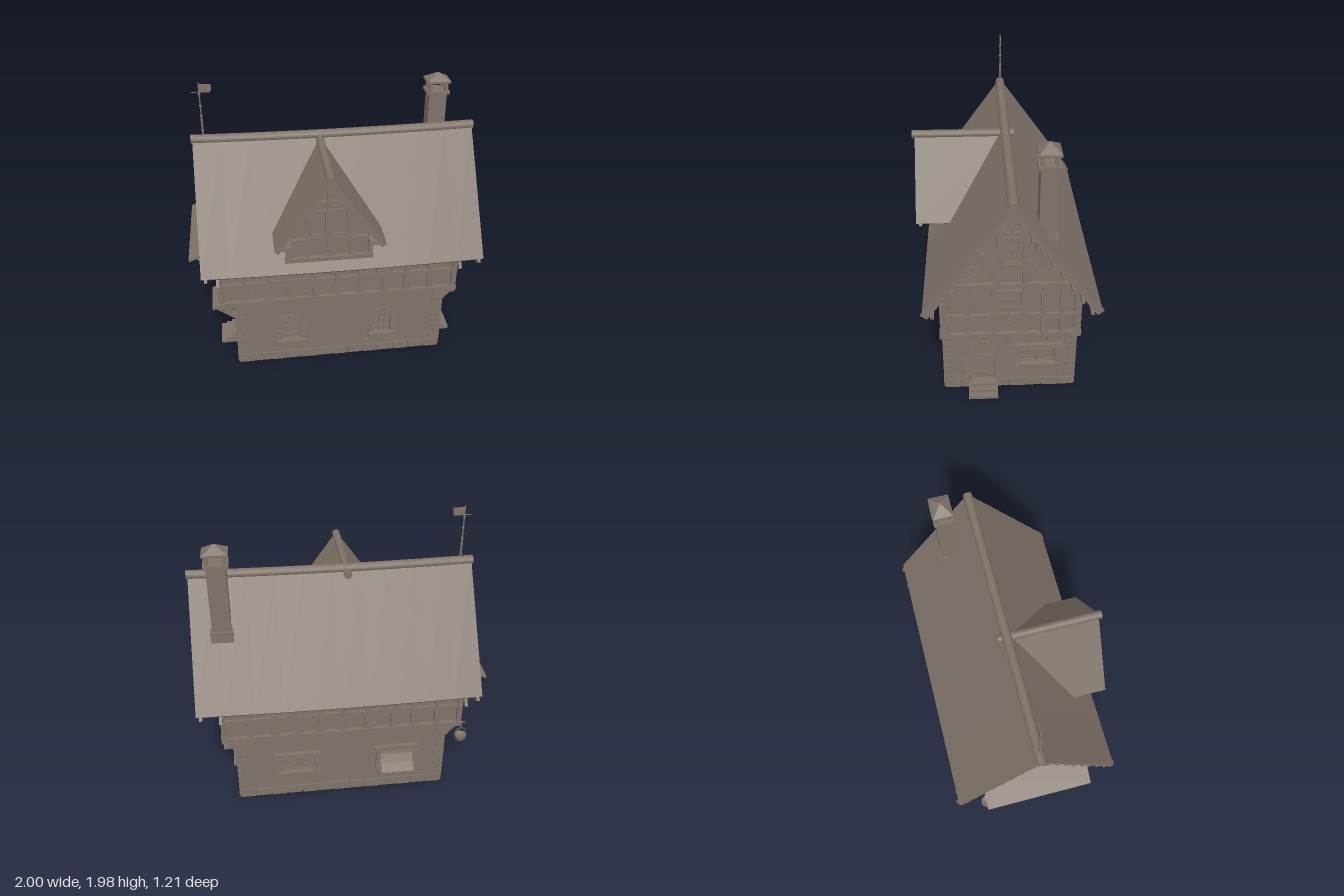
import * as THREE from 'three';

const stone = new THREE.MeshStandardMaterial({ color: 0x7f7368, side: THREE.DoubleSide });
stone.name = 'greyBrown';

function add(g, name, geo, x = 0, y = 0, z = 0) {
  const m = new THREE.Mesh(geo, stone);
  m.name = name;
  m.position.set(x, y, z);
  g.add(m);
  return m;
}
const box = (g, name, w, h, d, x, y, z) => add(g, name, new THREE.BoxGeometry(w, h, d), x, y, z);
// Timber lying on a facade between two (u, y) points
function beam(g, name, u0, y0, u1, y1, w = 0.03, d = 0.02, z = 0) {
  const m = box(g, name, Math.hypot(u1 - u0, y1 - y0), w, d, (u0 + u1) / 2, (y0 + y1) / 2, z + d / 2);
  m.rotation.z = Math.atan2(y1 - y0, u1 - u0);
  return m;
}
// Round bar between two 3D points
function rod(g, name, a, b, r, sides = 6) {
  const A = new THREE.Vector3(...a), B = new THREE.Vector3(...b), d = B.clone().sub(A);
  const m = add(g, name, new THREE.CylinderGeometry(r, r, d.length(), sides));
  m.position.copy(A).add(B).multiplyScalar(0.5);
  m.quaternion.setFromUnitVectors(new THREE.Vector3(0, 1, 0), d.normalize());
  return m;
}
const poly = pts => new THREE.Shape(pts.map(p => new THREE.Vector2(...p)));
const extrude = (s, depth, steps = 1) => new THREE.ExtrudeGeometry(s, { depth, steps, bevelEnabled: false, curveSegments: 10 });
// A facade is drawn facing +z, then turned to its side of the house
function facade(parent, name, angle, x, z) {
  const g = new THREE.Group();
  g.name = name;
  g.rotation.y = angle;
  g.position.set(x, 0, z);
  parent.add(g);
  return g;
}
function archPath(u, y0, w, spring) {
  const s = new THREE.Shape();
  s.moveTo(u - w / 2, y0);
  s.lineTo(u + w / 2, y0);
  s.lineTo(u + w / 2, spring);
  s.absarc(u, spring, w / 2, 0, Math.PI, false);
  s.lineTo(u - w / 2, y0);
  return s;
}
const rectPath = (u, y, w, h) => poly([[u - w / 2, y - h / 2], [u + w / 2, y - h / 2], [u + w / 2, y + h / 2], [u - w / 2, y + h / 2]]);
function wall(g, u0, u1, holes) {
  const s = rectPath((u0 + u1) / 2, 0.26, u1 - u0, 0.52);
  s.holes.push(...holes);
  add(g, 'groundWall', extrude(s, 0.03), 0, 0, -0.03);
}
// Arched opening with stone surround and either panes or door planks
function arch(g, u, y0, w, spring, door) {
  add(g, door ? 'doorLeaf' : 'windowPane', extrude(archPath(u, y0, w, spring), 0.008), 0, 0, -0.024);
  const r = w / 2 + 0.016, n = Math.round((spring - y0) / 0.042);
  for (const s of [-1, 1]) for (let i = 0; i < n; i++) {
    const bw = i % 2 ? 0.03 : 0.042, h = (spring - y0) / n;
    box(g, 'jambStone', bw, h - 0.004, 0.03, u + s * (w / 2 + bw / 2), y0 + h * (i + 0.5), 0);
  }
  for (let i = 0; i < 9; i++) {
    const a = (i + 0.5) * Math.PI / 9;
    const m = box(g, 'archStone', 0.034, Math.PI * r / 9 - 0.002, 0.03, u + Math.cos(a) * r, spring + Math.sin(a) * r, 0);
    m.rotation.z = a;
  }
  if (!door) box(g, 'windowSill', w + 0.09, 0.018, 0.05, u, y0 - 0.009, 0.012);
  const bars = door ? 5 : 3;
  for (let i = 1; i < bars; i++) beam(g, 'bar', u - w / 2 + w * i / bars, y0, u - w / 2 + w * i / bars, spring + w * 0.38, 0.007, 0.008, -0.016);
  for (const t of door ? [0.25, 0.9] : [0.35, 0.8]) beam(g, 'crossBar', u - w / 2, y0 + (spring - y0) * t, u + w / 2, y0 + (spring - y0) * t, door ? 0.016 : 0.007, 0.01, -0.016);
}
// Framed casement with glazing bars
function casement(g, u, y, w, h, leaves, z = 0) {
  box(g, 'windowPane', w, h, 0.006, u, y, z + 0.001);
  for (const s of [-1, 1]) {
    beam(g, 'windowFrame', u + s * w / 2, y - h / 2, u + s * w / 2, y + h / 2, 0.016, 0.018, z);
    beam(g, 'windowFrame', u - w / 2, y + s * h / 2, u + w / 2, y + s * h / 2, 0.016, 0.018, z);
  }
  for (let i = 1; i < leaves * 2; i++) {
    const x = u - w / 2 + w * i / (leaves * 2);
    beam(g, 'mullion', x, y - h / 2, x, y + h / 2, i % 2 ? 0.005 : 0.016, i % 2 ? 0.009 : 0.016, z);
  }
  for (const t of [-0.2, 0.15]) beam(g, 'glazingBar', u - w / 2, y + h * t, u + w / 2, y + h * t, 0.005, 0.009, z);
}
function stoneWindow(g, u) {
  casement(g, u, 0.285, 0.23, 0.14, 2, -0.02);
  box(g, 'lintel', 0.32, 0.026, 0.05, u, 0.367, 0.008);
  box(g, 'windowSill', 0.29, 0.018, 0.05, u, 0.206, 0.012);
  for (const s of [-1, 1]) box(g, 'windowPost', 0.026, 0.14, 0.036, u + s * 0.128, 0.285, 0.004);
}
// Plinth course and alternating corner stones
function masonry(g, u0, u1) {
  const n = Math.round((u1 - u0) / 0.11), w = (u1 - u0) / n;
  for (let i = 0; i < n; i++) box(g, 'plinthStone', w - 0.005, i % 2 ? 0.062 : 0.067, 0.02, u0 + w * (i + 0.5), 0.033, 0);
  for (let i = 0; i < 9; i++) {
    const q = i % 2 ? 0.042 : 0.066;
    for (const [u, s] of [[u0, 1], [u1, -1]]) box(g, 'cornerStone', q + 0.008, 0.045, 0.016, u + s * (q / 2 - 0.004), 0.093 + i * 0.048, 0);
  }
}
// Timber frame: sill, rail, plate, posts and braces
function frame(g, u0, u1, posts, top) {
  beam(g, 'sillBeam', u0, 0.53, u1, 0.53, 0.038, 0.028);
  beam(g, 'middleRail', u0, 0.685, u1, 0.685, 0.026);
  beam(g, 'wallPlate', u0, top, u1, top, 0.03, 0.024);
  for (const u of posts) beam(g, 'post', u, 0.54, u, top, 0.034, 0.022);
  for (let i = 0; i < posts.length - 1; i++) {
    const a = posts[i] + 0.015, b = posts[i + 1] - 0.015;
    if (i % 2) beam(g, 'brace', a, 0.675, b, 0.55, 0.022, 0.016);
    else beam(g, 'brace', a, 0.55, b, 0.675, 0.022, 0.016);
    const m = (a + b) / 2;
    beam(g, 'shortBrace', m, 0.61, i % 2 ? a : b, 0.55, 0.02, 0.014);
  }
}
const roofY = u => 1.6 - (u < 0.04 ? (0.04 - u) * 1.418 : (u - 0.04) * 1.405);

// Gable end: framing, gable window, brackets, rafter ends and bargeboards
function gableEnd(g, reach) {
  frame(g, -0.405, 0.48, [-0.388, -0.24, -0.075, 0.125, 0.25, 0.37, 0.463], 0.93);
  casement(g, 0.025, 0.79, 0.165, 0.18, 2);
  casement(g, 0.04, 1.19, 0.1, 0.18, 1);
  beam(g, 'collarBeam', -0.13, 1.31, 0.21, 1.31, 0.026);
  beam(g, 'kingPost', 0.04, 1.3, 0.04, 1.53, 0.03);
  beam(g, 'gableSill', -0.02, 1.09, 0.1, 1.09, 0.02, 0.03);
  for (const s of [-1, 1]) {
    const c = 0.04 + s * 0.08;
    beam(g, 'gablePost', c, 0.94, c, 1.31, 0.026);
    beam(g, 'gableBrace', c + s * 0.02, 0.95, 0.04 + s * 0.24, 1.17, 0.024);
    beam(g, 'gableBrace', c, 1.12, 0.04 + s * 0.3, 0.95, 0.024);
    const e = s < 0 ? -0.505 : 0.59;
    for (const [drop, z, w] of [[0.045, reach - 0.03, 0.05], [0.085, 0, 0.03]])
      beam(g, 'bargeboard', 0.04, 1.6 - drop, e, roofY(e) - drop + 0.015, w, 0.02, z);
    for (let i = 0; i < 8; i++) {
      const u = 0.04 + (e - 0.04) * (0.1 + i * 0.115);
      box(g, 'purlinEnd', 0.022, 0.028, reach, u, roofY(u) - 0.095, reach / 2);
    }
  }
  for (const u of [-0.39, -0.24, -0.12, 0.02, 0.15, 0.295, 0.45]) {
    box(g, 'joistEnd', 0.034, 0.03, 0.1, u, 0.5, -0.03);
    const b = box(g, 'bracket', 0.026, 0.026, 0.12, u, 0.462, -0.045);
    b.rotation.x = -0.8;
    box(g, 'bracketFoot', 0.036, 0.03, 0.03, u, 0.435, -0.075);
  }
}
const sag = (geo, len, amount) => {
  const p = geo.attributes.position;
  for (let i = 0; i < p.count; i++) p.setY(i, p.getY(i) - amount * (1 - (2 * p.getZ(i) / len - 1) ** 2));
  geo.computeVertexNormals();
  return geo;
};

export function createModel() {
  const house = new THREE.Group();
  house.name = 'timberHouse';
  const P = Math.PI;

  // Ground floor, hollow and open below
  const front = facade(house, 'frontGround', 0, 0, 0.405);
  wall(front, -0.715, 0.75, [-0.335, 0.325].map(u => archPath(u, 0.18, 0.115, 0.305)));
  for (const u of [-0.335, 0.325]) arch(front, u, 0.18, 0.115, 0.305, false);
  masonry(front, -0.715, 0.75);

  const right = facade(house, 'rightGround', P / 2, 0.75, 0);
  wall(right, -0.405, 0.48, [archPath(-0.145, 0.06, 0.155, 0.295), rectPath(0.225, 0.285, 0.23, 0.14)]);
  arch(right, -0.145, 0.06, 0.155, 0.295, true);
  stoneWindow(right, 0.225);
  masonry(right, -0.405, 0.48);

  const left = facade(house, 'leftGround', -P / 2, -0.715, 0);
  wall(left, -0.48, 0.405, [archPath(0.09, 0.06, 0.155, 0.295), archPath(-0.24, 0.18, 0.115, 0.305)]);
  arch(left, 0.09, 0.06, 0.155, 0.295, true);
  arch(left, -0.24, 0.18, 0.115, 0.305, false);
  masonry(left, -0.48, 0.405);

  const back = facade(house, 'backGround', P, 0, -0.48);
  wall(back, -0.75, 0.715, [-0.33, 0.37].map(u => rectPath(u, 0.285, 0.23, 0.14)));
  for (const u of [-0.33, 0.37]) stoneWindow(back, u);
  masonry(back, -0.75, 0.715);

  // Door steps
  for (const [g, u] of [[right, -0.145], [left, 0.09]])
    for (let i = 0; i < 3; i++) box(g, 'doorStep', 0.2 - i * 0.012, 0.021, 0.13 - i * 0.04, u, 0.011 + i * 0.021, 0.065 - i * 0.02);

  // Upper floor and gable body
  const body = add(house, 'upperBody', extrude(poly([[-0.395, 0.51], [0.47, 0.51], [0.47, 0.93], [0.04, 1.54], [-0.395, 0.925]]), 1.625), -0.805, 0, 0);
  body.rotation.y = P / 2;
  const posts = [-0.81, -0.65, -0.48, -0.34, -0.16, 0, 0.16, 0.33, 0.48, 0.65, 0.825];
  const upFront = facade(house, 'frontFrame', 0, 0, 0.395);
  frame(upFront, -0.83, 0.845, posts, 0.86);
  const upBack = facade(house, 'backFrame', P, 0, -0.47);
  frame(upBack, -0.845, 0.83, posts.map(u => -u).reverse(), 0.86);
  for (const g of [upFront, upBack]) for (const u of [-0.32, 0.325]) casement(g, u, 0.765, 0.29, 0.13, 3, 0.006);
  gableEnd(facade(house, 'rightGable', P / 2, 0.82, 0), 0.155);
  const mirror = new THREE.Group();
  mirror.name = 'leftGableSide';
  mirror.scale.x = -1;
  house.add(mirror);
  gableEnd(facade(mirror, 'leftGable', P / 2, 0.805, 0), 0.105);

  // Main roof with a gentle sag, and its ridge cap
  const roofShape = poly([[-0.515, 0.835], [0.04, 1.61], [0.595, 0.835], [0.575, 0.815], [0.04, 1.565], [-0.495, 0.815]]);
  add(house, 'mainRoof', sag(extrude(roofShape, 1.905, 10).toNonIndexed(), 1.905, 0.012), -0.92, 0, 0).rotation.y = P / 2;
  const cap = new THREE.CylinderGeometry(0.032, 0.032, 1.925, 12, 10).rotateX(P / 2).translate(0, 0, 0.9625);
  add(house, 'ridgeCap', sag(cap, 1.925, 0.012), -0.93, 1.585, -0.04).rotation.y = P / 2;

  // Dormer
  const dormer = facade(house, 'dormer', 0, -0.07, 0.465);
  add(dormer, 'dormerBody', extrude(poly([[-0.285, 0.9], [0.285, 0.9], [0.285, 1.11], [0, 1.51], [-0.285, 1.11]]), 0.4), 0, 0, -0.4);
  add(dormer, 'dormerRoof', extrude(poly([[-0.365, 1.055], [0, 1.565], [0.365, 1.055], [0.345, 1.04], [0, 1.525], [-0.345, 1.04]]), 0.615), 0, 0, -0.505);
  rod(dormer, 'dormerRidge', [0, 1.547, -0.565], [0, 1.547, 0.13], 0.028, 12);
  beam(dormer, 'dormerSill', -0.295, 0.915, 0.295, 0.915, 0.03, 0.03);
  beam(dormer, 'dormerRail', -0.29, 1.06, 0.29, 1.06, 0.026, 0.024);
  beam(dormer, 'dormerKingPost', 0, 1.34, 0, 1.53, 0.026, 0.022);
  beam(dormer, 'dormerMullion', 0, 0.92, 0, 1.35, 0.03, 0.022);
  const ring = archPath(0, 1.07, 0.31, 1.2);
  ring.holes.push(archPath(0, 1.085, 0.265, 1.2));
  add(dormer, 'dormerArch', extrude(ring, 0.024));
  for (const s of [-1, 1]) {
    casement(dormer, s * 0.07, 1.185, 0.105, 0.18, 1);
    beam(dormer, 'dormerPost', s * 0.275, 0.92, s * 0.275, 1.09, 0.03, 0.024);
    beam(dormer, 'dormerPost', s * 0.145, 0.92, s * 0.145, 1.06, 0.024);
    beam(dormer, 'dormerBrace', s * 0.02, 0.93, s * 0.13, 1.05, 0.024, 0.016);
    beam(dormer, 'dormerBrace', s * 0.26, 0.93, s * 0.16, 1.05, 0.024, 0.016);
    beam(dormer, 'dormerRafter', 0, 1.51, s * 0.35, 1.025, 0.028, 0.02, 0.07);
    box(dormer, 'dormerEaveBeam', 0.07, 0.026, 0.1, s * 0.29, 1.055, 0.045);
  }

  // Chimney with open lantern top
  const chimney = facade(house, 'chimney', 0, 0.783, -0.253);
  box(chimney, 'chimneyStack', 0.125, 0.6, 0.105, 0, 1.46, 0);
  box(chimney, 'chimneyFoot', 0.15, 0.12, 0.13, 0, 1.235, 0);
  box(chimney, 'chimneyCollar', 0.16, 0.022, 0.135, 0, 1.76, 0);
  for (const x of [-1, 1]) for (const z of [-1, 1]) box(chimney, 'chimneyPost', 0.025, 0.07, 0.025, x * 0.055, 1.8, z * 0.042);
  box(chimney, 'chimneySlab', 0.165, 0.014, 0.135, 0, 1.837, 0);
  const hat = add(chimney, 'chimneyHat', new THREE.CylinderGeometry(0.012, 0.115, 0.048, 4, 1).rotateY(P / 4).toNonIndexed(), 0, 1.866, 0);
  hat.geometry.computeVertexNormals();
  hat.scale.z = 0.83;

  // Weather vane
  const vane = facade(house, 'weatherVane', 0, -0.845, -0.04);
  rod(vane, 'vanePole', [0, 1.58, 0], [0, 1.98, 0], 0.005);
  rod(vane, 'vaneSleeve', [0, 1.6, 0], [0, 1.75, 0], 0.008);
  for (const y of [1.75, 1.82, 1.9]) add(vane, 'vaneKnob', new THREE.SphereGeometry(0.01, 8, 6), 0, y, 0);
  rod(vane, 'vaneArm', [-0.05, 1.915, 0], [0.03, 1.915, 0], 0.003);
  add(vane, 'vaneFlag', extrude(poly([[0, 1.915], [0.065, 1.91], [0.078, 1.925], [0.078, 1.965], [0, 1.968]]), 0.006), 0, 0, -0.003);

  // Awnings on the left end
  const awn = (name, z, width, x0, y0, x1, y1) => {
    const g = facade(house, name, 0, 0, z);
    const m = beam(g, 'awningBoard', x1, y1, x0, y0, 0.016, width);
    m.position.z = 0;
    for (const s of [-1, 0, 1]) rod(g, 'awningBrace', [x1 + 0.03, y1 - 0.005, s * width * 0.43], [x0 + 0.005, y1 - 0.12, s * width * 0.43], 0.009, 4);
  };
  awn('upperAwning', -0.045, 0.73, -0.8, 0.95, -1.0, 0.855);
  awn('doorAwning', 0.09, 0.26, -0.715, 0.43, -0.885, 0.345);

  // Hanging pot on its bracket
  const pot = facade(house, 'hangingPot', 0, -0.865, -0.4);
  rod(pot, 'potArm', [-0.025, 0.465, 0], [0.15, 0.465, 0], 0.006);
  rod(pot, 'potArmBrace', [0.07, 0.465, 0], [0.15, 0.4, 0], 0.005);
  rod(pot, 'potChain', [0, 0.465, 0], [0, 0.41, 0], 0.003);
  add(pot, 'potHandle', new THREE.TorusGeometry(0.04, 0.003, 5, 20), 0, 0.37, 0);
  const profile = [[0, 0.3], [0.025, 0.304], [0.04, 0.325], [0.038, 0.345], [0.044, 0.352], [0.036, 0.352], [0, 0.335]];
  add(pot, 'potBowl', new THREE.LatheGeometry(profile.map(p => new THREE.Vector2(...p)), 14));

  // Cloth awning over the rear window
  const cloth = facade(back, 'clothAwning', 0, 0.37, 0);
  const curve = [[0.01, 0.375], [0.025, 0.31], [0.06, 0.25], [0.115, 0.215]];
  const strip = new THREE.Shape([...curve.map(([a, b]) => new THREE.Vector2(-a, b)), ...curve.slice().reverse().map(([a, b]) => new THREE.Vector2(-a - 0.003, b + 0.005))]);
  add(cloth, 'clothSheet', extrude(strip, 0.23), -0.115, 0, 0).rotation.y = P / 2;
  for (const s of [-1, 1]) rod(cloth, 'clothRod', [s * 0.11, 0.213, 0], [s * 0.11, 0.213, 0.115], 0.004);
  rod(cloth, 'clothBar', [-0.12, 0.213, 0.113], [0.12, 0.213, 0.113], 0.004);
  return house;
}
